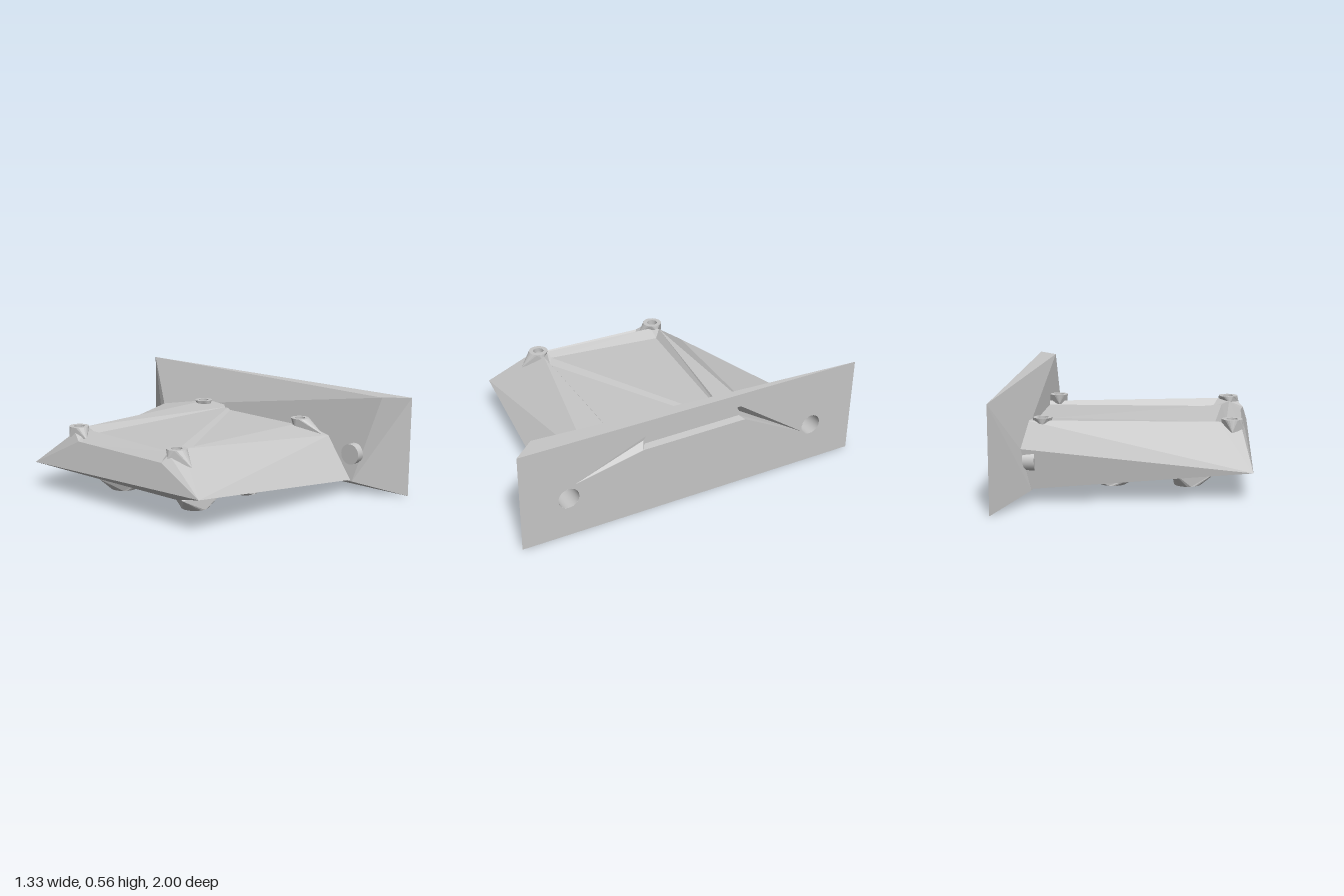
import * as THREE from 'three';

const grey = new THREE.MeshStandardMaterial({ color: 0xc6c6c6, side: THREE.DoubleSide });
grey.name = 'plainGrey';

// Flat-faced mesh from convex polygons, each a list of [x, y, z] corners
function facets(name, polygons) {
  const pos = [];
  for (const p of polygons) {
    for (let i = 1; i < p.length - 1; i++) pos.push(...p[0], ...p[i], ...p[i + 1]);
  }
  const g = new THREE.BufferGeometry();
  g.setAttribute('position', new THREE.Float32BufferAttribute(pos, 3));
  g.computeVertexNormals();
  const m = new THREE.Mesh(g, grey);
  m.name = name;
  return m;
}

// Quads between successive closed rings of equal length
function loft(rings) {
  const out = [];
  for (let r = 0; r < rings.length - 1; r++) {
    const a = rings[r], b = rings[r + 1], n = a.length;
    for (let i = 0; i < n; i++) {
      const j = (i + 1) % n;
      out.push([a[i], a[j], b[j]], [a[i], b[j], b[i]]);
    }
  }
  return out;
}

const SIDES = 24;
const circle = (x, y, z, r) => Array.from({ length: SIDES }, (_, i) => {
  const t = (i / SIDES) * Math.PI * 2;
  return [x + r * Math.cos(t), y, z + r * Math.sin(t)];
});

// Round screw seat with a blind hole, whose skirt fans out to a few base corners
function screwSeat(name, x, y, z, r, hole, depth, corners) {
  const rim = circle(x, y, z, r);
  const skirt = rim.map(p => {
    const score = c => (p[0] - x) * (c[0] - x) + (p[2] - z) * (c[2] - z);
    return corners.reduce((best, c) => (score(c) > score(best) ? c : best));
  });
  const bottom = circle(x, y + depth, z, hole);
  return facets(name, [...loft([skirt, rim, circle(x, y, z, hole), bottom]), bottom]);
}

function buildBody() {
  const FL = [-0.665, 0.19, 0.65], BL = [-0.645, 0.15, -0.65];
  const FR = [0.52, 0.075, 0.73], BR = [0.52, 0.075, -0.745];
  const frontTop = [0.53, 0.3, 0.545], backTop = [0.54, 0.295, -0.79];
  const a = [-0.47, 0.37, -0.395], b = [0.56, 0.37, -0.41], c = [-0.48, 0.37, 0.365];
  const edge = [0.57, 0.36, -0.265], right = [0.57, 0.345, 0.355];
  const deckA = [-0.44, 0.33, -0.36], deckB = [0.57, 0.345, -0.258], deckC = [-0.5, 0.34, 0.31];
  const lowA = [-0.45, 0.325, 0.34], lowB = [0.57, 0.335, -0.235], lowC = [0.57, 0.325, 0.34];
  const l1 = [-0.612, 0.32, -0.31], l2 = [-0.628, 0.32, 0.35];
  const g1 = [-0.595, 0.305, -0.3], g2 = [-0.615, 0.305, 0.34];
  const m1 = [-0.585, 0.36, -0.37], m2 = [-0.59, 0.36, 0.37];
  const n1 = [-0.51, 0.365, -0.36], n2 = [-0.545, 0.36, 0.32];
  const u1 = [-0.47, 0.08, 0.3], u2 = [-0.47, 0.08, -0.3];
  return facets('body', [
    // outer walls
    [FL, FR, frontTop, c], [BL, BR, backTop], [BL, backTop, b], [BL, b, a],
    [BL, l1, l2, FL], [BL, a, m1], [BL, m1, l1], [FL, l2, m2], [FL, m2, c],
    [FR, BR, backTop, b, edge, right, frontTop],
    // rims, with a shallow groove along the left one
    [l1, l2, g2, g1], [g1, g2, n2, n1], [l1, g1, n1, m1], [m1, n1, a],
    [l2, g2, n2, m2], [m2, n2, c], [a, b, edge], [c, frontTop, right],
    // sunken deck, stepped along its diagonal
    [deckA, deckB, deckC], [deckC, deckB, lowB, lowA], [lowA, lowB, lowC],
    [a, edge, deckB, deckA], [n1, a, deckA], [n1, deckA, deckC, n2],
    [n2, deckC, lowA, c], [c, right, lowC, lowA],
    // underside
    [FL, FR, u1], [u1, FR, BR, u2], [u2, BR, BL], [BL, FL, u1, u2],
  ]);
}

function buildEndPlate() {
  const plate = new THREE.Group();
  plate.name = 'endPlate';
  const X = 0.665, H = 0.56;
  const topF = [X, H, 1], topB = [X, H, -1], lowF = [X, 0, 1], lowB = [X, 0, -1];
  const p = [0.555, H, 0.88], r = [0.535, 0.29, -0.79];
  const q1 = [0.49, 0.07, 0.74], q2 = [0.49, 0.07, -0.745];
  plate.add(facets('plateBack', [
    [topB, topF, p], [topF, lowF, q1, p], [topB, p, r], [p, q1, r], [q1, q2, r],
    [topB, r, q2], [topB, q2, lowB], [lowF, lowB, q2, q1],
  ]));

  // outer face, drawn with u = -z, pierced by two holes and a handle recess
  const mouth = [[0.7, 0.305], [0.26, 0.487], [-0.27, 0.485], [-0.68, 0.2], [-0.3, 0.395], [0.31, 0.39]];
  const floor = [[0.29, 0.42], [0.25, 0.478], [-0.262, 0.476], [-0.285, 0.43], [-0.285, 0.403], [0.285, 0.398]];
  const shape = new THREE.Shape([[-1, 0], [1, 0], [1, H], [-1, H]].map(v => new THREE.Vector2(...v)));
  shape.holes.push(new THREE.Path(mouth.map(([z, y]) => new THREE.Vector2(-z, y))));
  for (const s of [-1, 1]) {
    shape.holes.push(new THREE.Path().absarc(s * 0.735, 0.23, 0.058, 0, Math.PI * 2, true));
  }
  const face = new THREE.Mesh(new THREE.ShapeGeometry(shape, SIDES), grey);
  face.name = 'plateFace';
  face.geometry.rotateY(Math.PI / 2).translate(X, 0, 0);
  plate.add(face);

  const place = (pts, x) => pts.map(([z, y]) => [x, y, z]);
  plate.add(facets('handleRecess', [...loft([place(mouth, X), place(floor, 0.625)]), place(floor, 0.625)]));

  // blind holes and the round stubs behind them
  for (const s of [-1, 1]) {
    const tube = new THREE.CylinderGeometry(0.058, 0.058, 0.16, SIDES, 1, true);
    const cap = new THREE.CylinderGeometry(0.058, 0.058, 0.035, SIDES);
    for (const [name, g, x] of [['holeWall', tube, 0.585], ['holeStub', cap, 0.4875]]) {
      const m = new THREE.Mesh(g.rotateZ(Math.PI / 2), grey);
      m.name = name;
      m.position.set(x, 0.23, s * 0.735);
      plate.add(m);
    }
  }
  return plate;
}

export function createModel() {
  const model = new THREE.Group();
  model.name = 'bracket';
  model.add(buildBody(), buildEndPlate());

  // screw seats on the deck corners; the front ones run down the slope
  model.add(
    screwSeat('topSeat', -0.54, 0.385, 0.375, 0.055, 0.03, -0.04, [
      [-0.605, 0.34, 0.375], [-0.54, 0.3, 0.485], [-0.48, 0.35, 0.375], [-0.55, 0.34, 0.32],
    ]),
    screwSeat('topSeat', -0.54, 0.385, -0.385, 0.055, 0.03, -0.04, [
      [-0.6, 0.33, -0.4], [-0.54, 0.32, -0.45], [-0.48, 0.35, -0.385], [-0.56, 0.32, -0.3],
    ]),
    screwSeat('topSeat', 0.475, 0.385, 0.375, 0.052, 0.03, -0.04, [
      [0.43, 0.33, 0.375], [0.5, 0.3, 0.53], [0.53, 0.33, 0.375], [0.47, 0.33, 0.33],
    ]),
    screwSeat('topSeat', 0.475, 0.385, -0.385, 0.052, 0.03, -0.04, [
      [0.43, 0.34, -0.385], [0.475, 0.34, -0.43], [0.53, 0.34, -0.385], [0.475, 0.34, -0.34],
    ]),
  );

  // pyramid feet under the body
  for (const s of [-1, 1]) {
    model.add(screwSeat('foot', 0.105, 0, s * 0.28, 0.075, 0.03, 0.05, [
      [0.28, 0.08, s * 0.36], [-0.07, 0.08, s * 0.36], [0.14, 0.08, s * 0.04],
    ]));
    model.add(screwSeat('foot', -0.305, 0, s * 0.28, 0.075, 0.03, 0.05, s > 0
      ? [[-0.08, 0.08, 0.32], [-0.48, 0.085, 0.36], [-0.34, 0.08, 0.12]]
      : [[-0.22, 0.1, -0.42], [-0.5, 0.09, -0.27], [-0.26, 0.08, -0.12]]));
  }
  return model;
}
